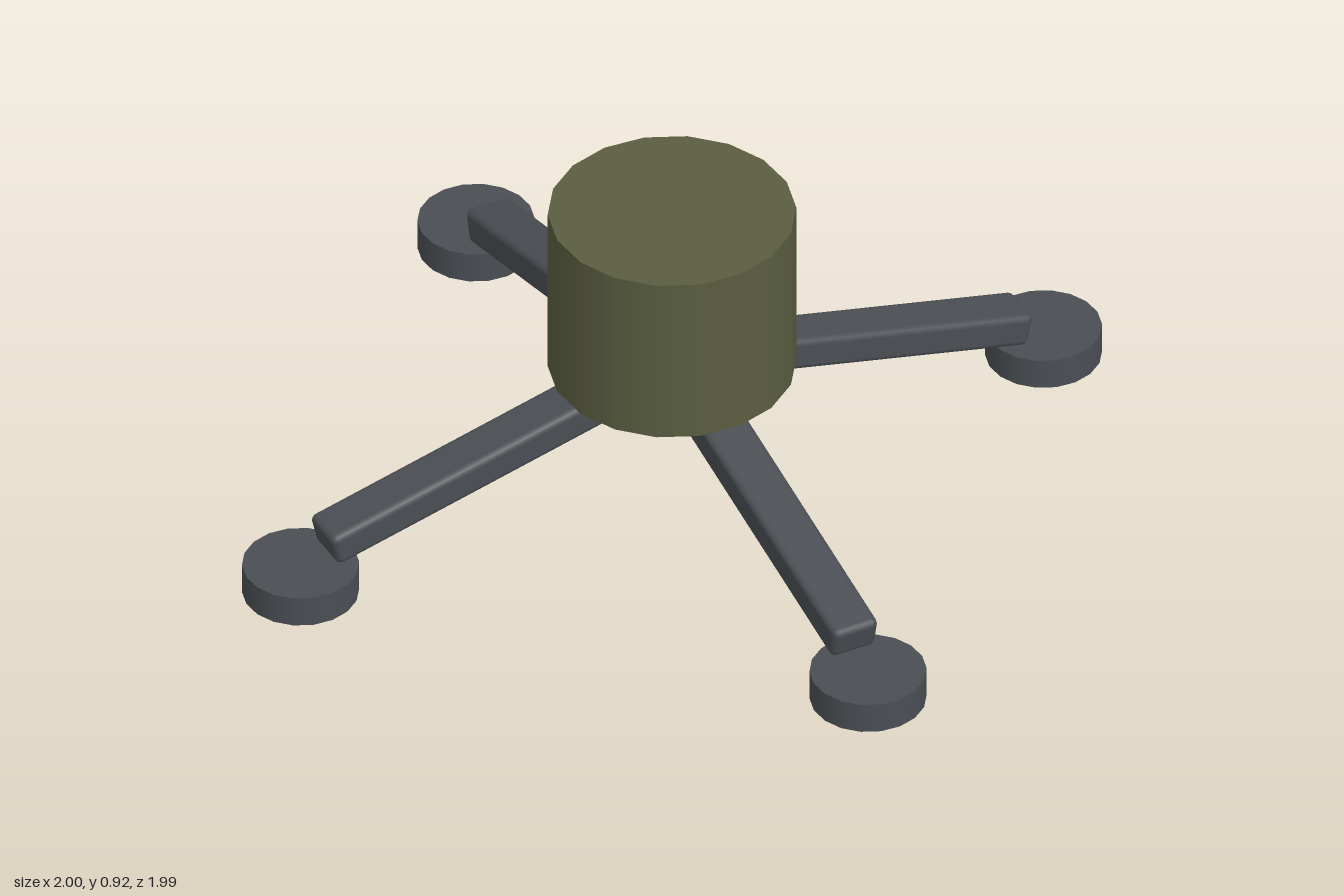
import * as THREE from 'three';
import { RoundedBoxGeometry } from 'three/addons/geometries/RoundedBoxGeometry.js';

const olive = new THREE.MeshStandardMaterial({ color: 0x5a5d40 });
olive.name = 'olive';
const darkGrey = new THREE.MeshStandardMaterial({ color: 0x4a4e53 });
darkGrey.name = 'darkGrey';

// Upright cylinder standing on height y, with corners pointing along x
function disc(name, radius, height, y, material) {
  const geometry = new THREE.CylinderGeometry(radius, radius, height, 18);
  geometry.rotateY(Math.PI / 2);
  const mesh = new THREE.Mesh(geometry, material);
  mesh.name = name;
  mesh.position.y = y + height / 2;
  return mesh;
}

export function createModel() {
  const model = new THREE.Group();
  model.name = 'fourLeggedStand';

  // Central drum
  model.add(disc('drum', 0.35, 0.535, 0.385, olive));

  // Sloping leg from the centre out to the foot
  const inner = new THREE.Vector2(0, 0.412);
  const outer = new THREE.Vector2(1.107, 0.148);
  const span = outer.clone().sub(inner);
  const legGeometry = new RoundedBoxGeometry(span.length(), 0.102, 0.142, 2, 0.02);
  legGeometry.rotateZ(span.angle());
  legGeometry.translate((inner.x + outer.x) / 2, (inner.y + outer.y) / 2, 0);

  for (const [side, sx] of [['Left', 1], ['Right', -1]]) {
    for (const [end, sz] of [['front', 1], ['back', -1]]) {
      const leg = new THREE.Mesh(legGeometry, darkGrey);
      leg.name = `${end}${side}Leg`;
      leg.rotation.y = Math.atan2(-sz, sx);
      model.add(leg);

      // Round foot pad
      const foot = disc(`${end}${side}Foot`, 0.165, 0.095, 0, darkGrey);
      foot.position.x = sx * 0.835;
      foot.position.z = sz * 0.835;
      model.add(foot);
    }
  }
  return model;
}
